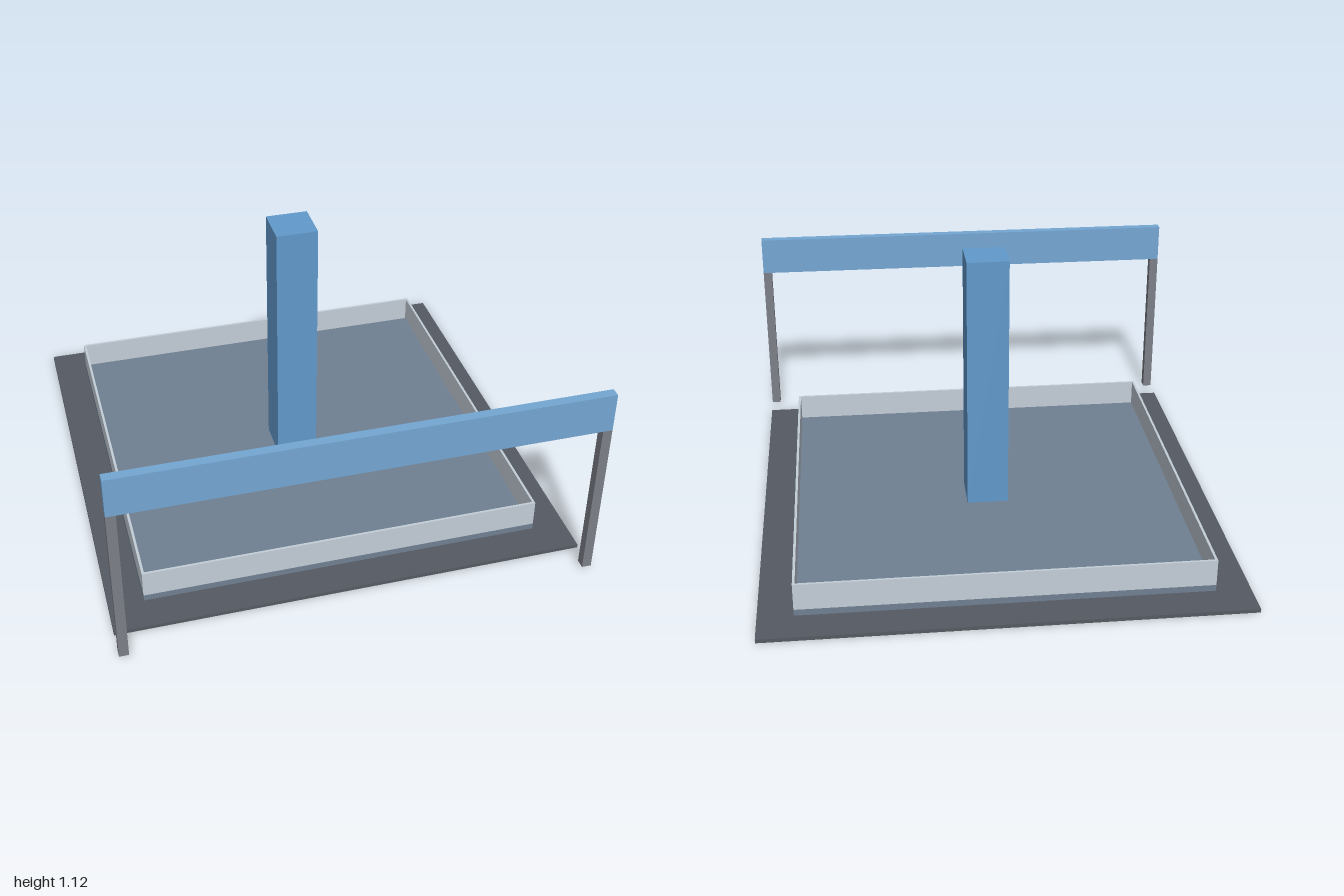
import * as THREE from 'three';

const CZ = -0.0625; // centre of the plinth in z

export function createModel() {
  const model = new THREE.Group();
  const mat = (color) => new THREE.MeshStandardMaterial({ color });
  const slate = mat(0x555a62), floorGrey = mat(0x6f8092), pale = mat(0xc4ced8);
  const blue = mat(0x6199cb), lightBlue = mat(0x74a6d2), postGrey = mat(0x7c7f87);

  // Box from a size, resting with its underside at y
  const box = (name, w, h, d, x, y, z, material) => {
    const mesh = new THREE.Mesh(new THREE.BoxGeometry(w, h, d), material);
    mesh.name = name;
    mesh.position.set(x, y + h / 2, z);
    model.add(mesh);
  };

  // Ground slab and raised floor
  box('groundSlab', 1.875, 0.015, 1.875, 0, 0, CZ, slate);
  box('floor', 1.6, 0.026, 1.6, 0, 0.015, CZ, floorGrey);

  // Thin parapet as one square ring
  const square = (S, r) => new S([[-r, -r], [r, -r], [r, r], [-r, r]].map(([x, y]) => new THREE.Vector2(x, y)));
  const ring = square(THREE.Shape, 0.8);
  ring.holes.push(square(THREE.Path, 0.79));
  const wallGeometry = new THREE.ExtrudeGeometry(ring, { depth: 0.109, bevelEnabled: false });
  wallGeometry.rotateX(-Math.PI / 2);
  const parapet = new THREE.Mesh(wallGeometry, pale);
  parapet.name = 'parapet';
  parapet.position.set(0, 0.041, CZ);
  model.add(parapet);

  // Central tower
  box('tower', 0.17, 1.074, 0.17, 0, 0.041, CZ, blue);

  // Free-standing gate in front: two posts and a beam
  for (const side of [-1, 1]) {
    box(side > 0 ? 'leftPost' : 'rightPost', 0.0375, 0.672, 0.0375, side * 0.91875, 0.015, 0.98125, postGrey);
  }
  box('gateBeam', 1.875, 0.16, 0.0375, 0, 0.687, 0.98125, lightBlue);

  return model;
}
